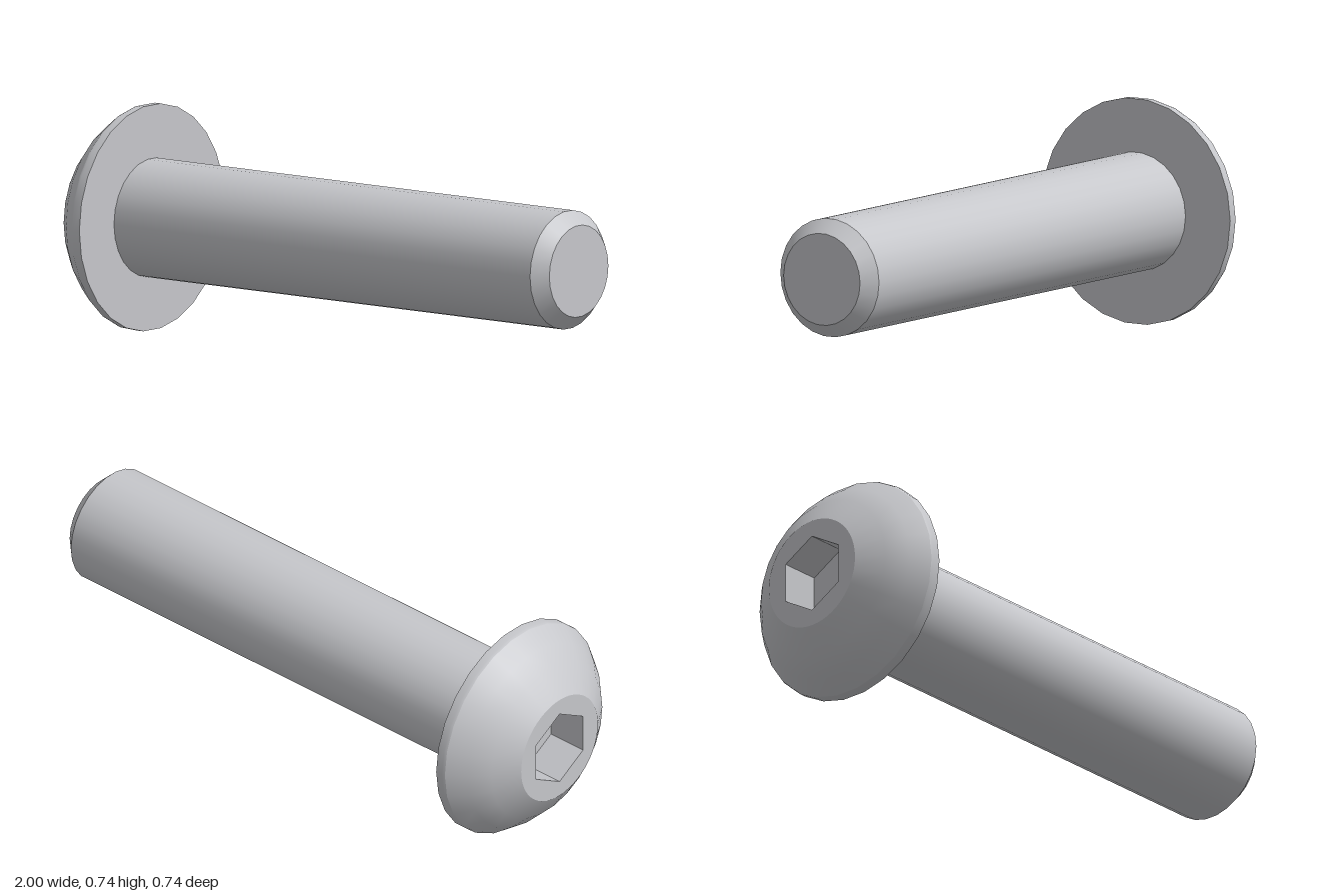
import * as THREE from 'three';

const SIDES = 26;
const AXIS_Y = 0.374;

export function createModel() {
  const steel = new THREE.MeshStandardMaterial({ color: 0xc6c7cb });
  steel.name = 'steel grey';

  const bolt = new THREE.Group();
  bolt.name = 'socketButtonBolt';

  function add(name, geometry, parent) {
    const mesh = new THREE.Mesh(geometry, steel);
    mesh.name = name;
    parent.add(mesh);
    return mesh;
  }

  // Turned surface about the x axis; profile is a list of [x, radius]
  function turned(profile, sides = SIDES, start = 0) {
    const points = profile.map(([x, r]) => new THREE.Vector2(r, x));
    return new THREE.LatheGeometry(points, sides, start).rotateZ(-Math.PI / 2);
  }

  // Head: domed crown, thin rim and flat underside, with crisp edges between
  const head = new THREE.Group();
  head.name = 'head';
  add('dome', turned([[-1, 0.187], [-0.945, 0.27], [-0.89, 0.325], [-0.83, 0.369]]), head);
  add('rim', turned([[-0.83, 0.369], [-0.82, 0.372], [-0.795, 0.372]]), head);
  add('underside', turned([[-0.795, 0.372], [-0.795, 0.195]]), head);

  // Flat end of the head, pierced by the hexagon
  const hexRadius = 0.132;
  const face = new THREE.Shape().absarc(0, 0, 0.187, 0, Math.PI * 2, false);
  const hexagon = [];
  for (let i = 0; i < 6; i++) {
    const a = Math.PI / 2 + (i * Math.PI) / 3;
    hexagon.push(new THREE.Vector2(Math.cos(a) * hexRadius, Math.sin(a) * hexRadius));
  }
  face.holes.push(new THREE.Path(hexagon));
  const faceGeometry = new THREE.ShapeGeometry(face, SIDES).rotateY(-Math.PI / 2);
  add('headFace', faceGeometry.translate(-1, 0, 0), head);

  // Hexagonal socket: floor and inward-facing flat walls
  const socket = turned([[-0.86, 0], [-0.86, hexRadius], [-1, hexRadius]], 6, Math.PI / 2).toNonIndexed();
  socket.computeVertexNormals();
  add('hexSocket', socket, head);

  // Shank with a chamfered tip
  const shank = new THREE.Group();
  shank.name = 'shank';
  add('shaft', turned([[-0.795, 0.195], [0.955, 0.195]]), shank);
  add('chamfer', turned([[0.955, 0.195], [1, 0.151]]), shank);
  add('tip', turned([[1, 0.151], [1, 0]]), shank);

  bolt.add(head, shank);
  bolt.position.y = AXIS_Y;

  const model = new THREE.Group();
  model.name = 'bolt';
  model.add(bolt);
  return model;
}
